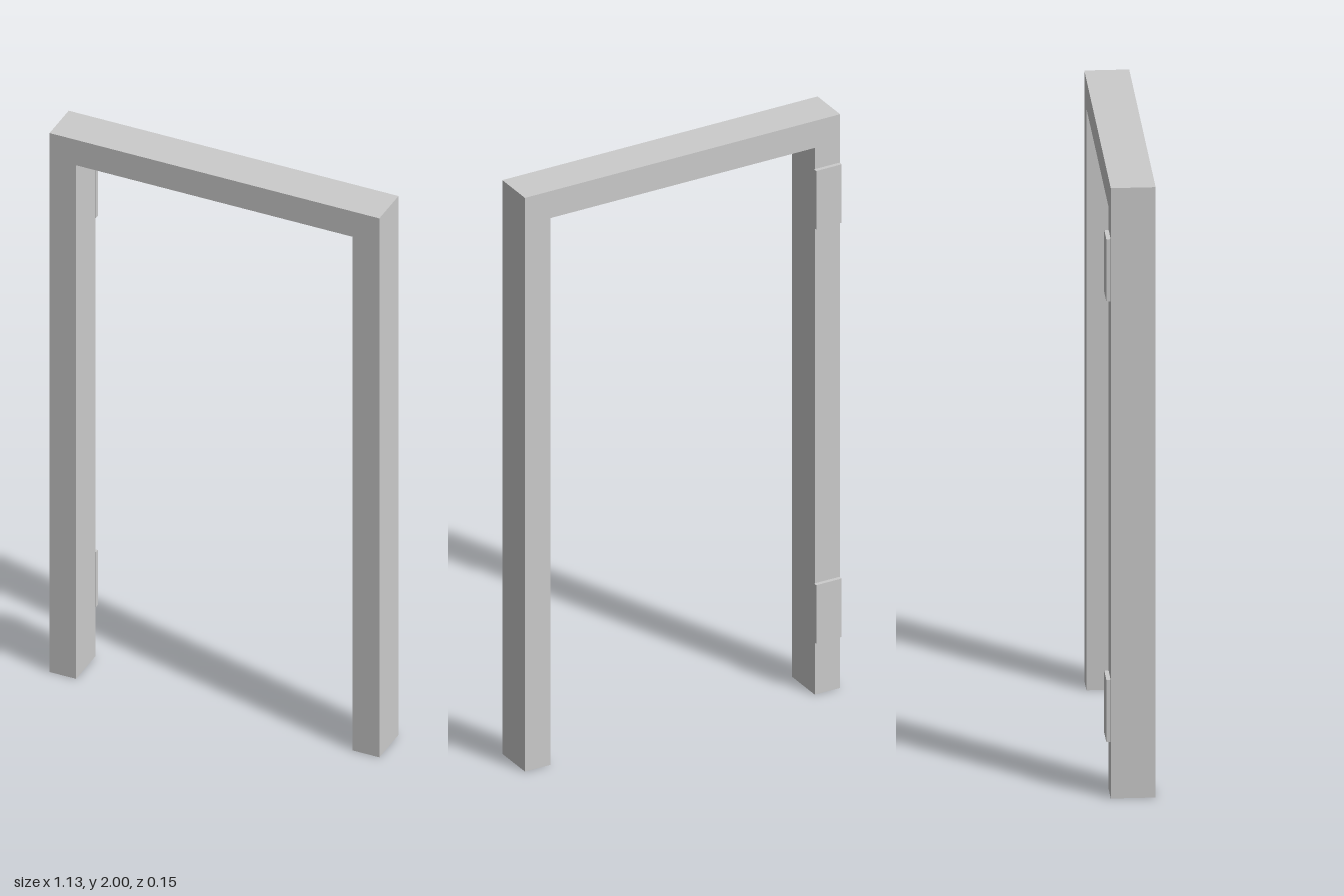
import * as THREE from 'three';

export function createModel() {
  const model = new THREE.Group();
  model.name = 'doorFrame';
  const material = new THREE.MeshStandardMaterial({ color: 0xcccccc, flatShading: true });

  const halfWidth = 0.565, halfOpening = 0.474, height = 2, openingTop = 1.906;
  const back = -0.063, front = 0.0765, plateBack = -0.0765;

  // Two posts and a lintel as one upside-down U, extruded through its depth
  const outline = new THREE.Shape([
    [-halfWidth, 0], [-halfOpening, 0], [-halfOpening, openingTop],
    [halfOpening, openingTop], [halfOpening, 0], [halfWidth, 0],
    [halfWidth, height], [-halfWidth, height],
  ].map(([x, y]) => new THREE.Vector2(x, y)));
  const frameGeometry = new THREE.ExtrudeGeometry(outline, { depth: front - back, bevelEnabled: false });
  frameGeometry.translate(0, 0, back);
  const frame = new THREE.Mesh(frameGeometry, material);
  frame.name = 'frame';
  model.add(frame);

  // Hinge plates on the back of the right post
  const plateGeometry = new THREE.BoxGeometry(0.091, 0.204, back - plateBack);
  for (const [name, y] of [['lowerHingePlate', 0.286], ['upperHingePlate', 1.73]]) {
    const plate = new THREE.Mesh(plateGeometry, material);
    plate.name = name;
    plate.position.set(-0.517, y, (back + plateBack) / 2);
    model.add(plate);
  }

  return model;
}
